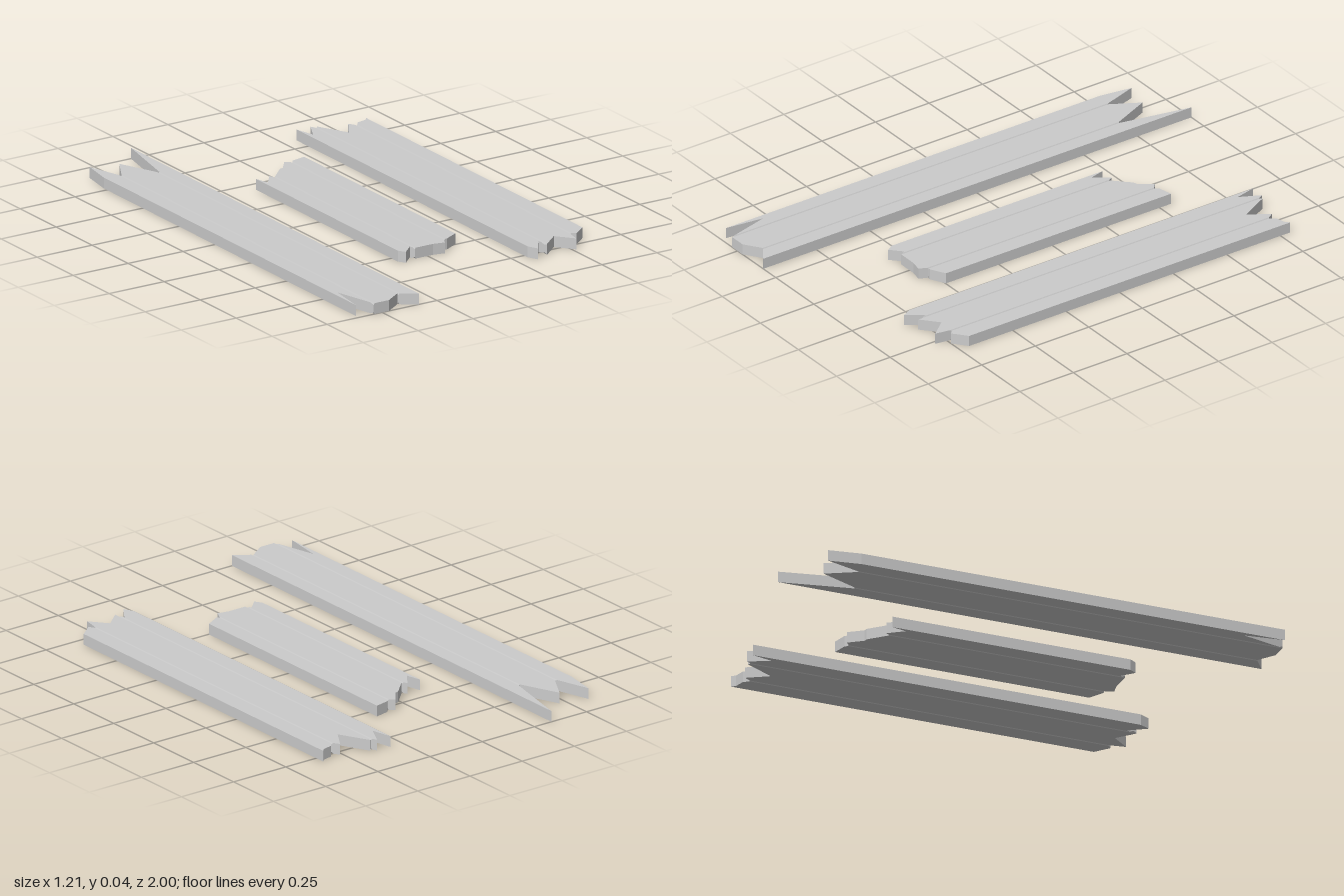
import * as THREE from 'three';

const H = 0.044; // plank thickness
const GROOVE_HALF = 0.004, GROOVE_DEPTH = 0.007;

// Each plank: splintered end lines as [x, z] points, plus the x of its long cracks
const planks = [
  {
    name: 'longPlank', cracks: [-0.538, -0.397],
    back: [[-0.606, -0.77], [-0.585, -0.9], [-0.538, -0.75], [-0.47, -0.87], [-0.401, -0.71], [-0.393, -0.71], [-0.332, -1]],
    front: [[-0.606, 0.98], [-0.585, 0.82], [-0.538, 1], [-0.468, 1], [-0.4, 0.953], [-0.332, 1]],
  },
  {
    name: 'shortPlank', cracks: [-0.058, 0.09],
    back: [[-0.13, -0.44], [-0.115, -0.38], [-0.07, -0.44], [-0.058, -0.42], [0.01, -0.487], [0.025, -0.49],
      [0.067, -0.545], [0.09, -0.525], [0.103, -0.54], [0.162, -0.553]],
    front: [[-0.13, 0.545], [-0.112, 0.573], [-0.066, 0.53], [-0.057, 0.553], [0.025, 0.553], [0.072, 0.563],
      [0.087, 0.53], [0.103, 0.53], [0.162, 0.498]],
  },
  {
    name: 'mediumPlank', cracks: [0.385, 0.529],
    back: [[0.31, -0.83], [0.33, -0.745], [0.372, -0.828], [0.384, -0.805], [0.394, -0.815], [0.458, -0.693],
      [0.51, -0.777], [0.53, -0.745], [0.548, -0.77], [0.59, -0.78], [0.604, -0.795]],
    front: [[0.31, 0.775], [0.33, 0.815], [0.378, 0.745], [0.388, 0.79], [0.458, 0.73], [0.515, 0.8],
      [0.527, 0.73], [0.548, 0.75], [0.604, 0.705]],
  },
];

// Height of a polyline at x
function sample(line, x) {
  const i = Math.max(1, line.findIndex((p) => p[0] >= x - 1e-9));
  const [x0, z0] = line[i - 1], [x1, z1] = line[i];
  return z0 + (z1 - z0) * (x - x0) / (x1 - x0);
}

function plankGeometry({ back, front, cracks }) {
  // Every column where an end line bends or a groove starts, bottoms out or stops
  const xs = [...back, ...front].map((p) => p[0]);
  cracks.forEach((c) => xs.push(c - GROOVE_HALF, c, c + GROOVE_HALF));
  const columns = [...new Set(xs)].sort((a, b) => a - b).map((x) => {
    const d = GROOVE_DEPTH * Math.max(0, ...cracks.map((c) => 1 - Math.abs(x - c) / GROOVE_HALF));
    const zb = sample(back, x), zf = sample(front, x);
    // section corners: back top, front top, front bottom, back bottom
    return [[x, H - d, zb], [x, H - d, zf], [x, d, zf], [x, d, zb]];
  });
  const pos = [];
  const quad = (a, b, c, d) => pos.push(...a, ...b, ...c, ...a, ...c, ...d);
  for (let i = 1; i < columns.length; i++) {
    const l = columns[i - 1], r = columns[i];
    for (let k = 0; k < 4; k++) quad(l[k], l[(k + 1) % 4], r[(k + 1) % 4], r[k]);
  }
  // long side faces
  const l = columns[0], r = columns[columns.length - 1];
  quad(l[3], l[2], l[1], l[0]);
  quad(r[0], r[1], r[2], r[3]);
  const g = new THREE.BufferGeometry();
  g.setAttribute('position', new THREE.Float32BufferAttribute(pos, 3));
  g.computeVertexNormals();
  return g;
}

export function createModel() {
  const group = new THREE.Group();
  group.name = 'brokenPlanks';
  const material = new THREE.MeshStandardMaterial({ color: 0xcccccc, flatShading: true });
  for (const plank of planks) {
    const mesh = new THREE.Mesh(plankGeometry(plank), material);
    mesh.name = plank.name;
    group.add(mesh);
  }
  return group;
}
